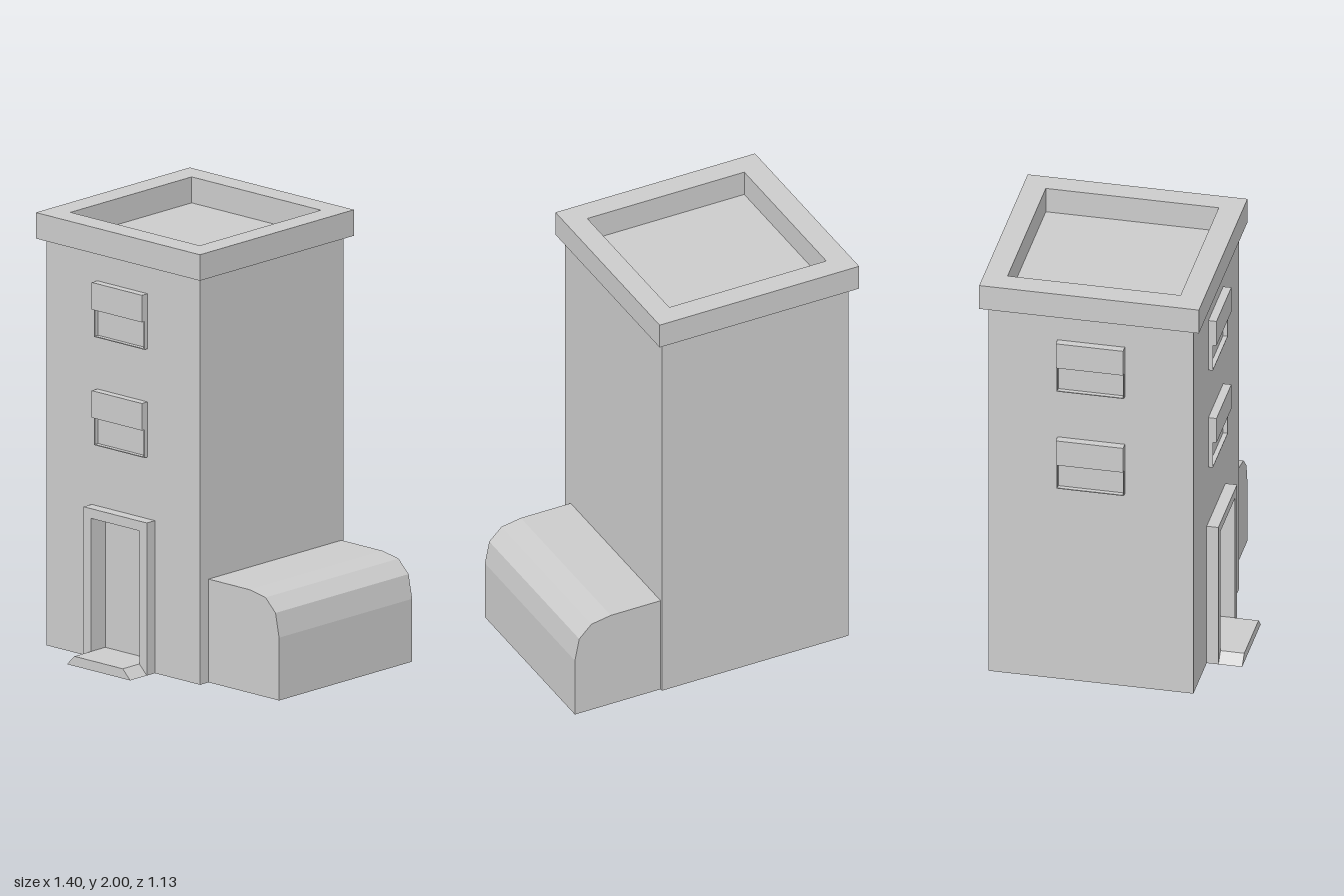
import * as THREE from 'three';

const material = new THREE.MeshStandardMaterial({ color: 0xcccccc, flatShading: true });

function addMesh(parent, name, geometry) {
  const mesh = new THREE.Mesh(geometry, material);
  mesh.name = name;
  parent.add(mesh);
  return mesh;
}

// Box given by its extents on each axis
function addBox(parent, name, [x0, x1], [y0, y1], [z0, z1]) {
  const mesh = addMesh(parent, name, new THREE.BoxGeometry(x1 - x0, y1 - y0, z1 - z0));
  mesh.position.set((x0 + x1) / 2, (y0 + y1) / 2, (z0 + z1) / 2);
  return mesh;
}

const points = (list) => list.map(([x, y]) => new THREE.Vector2(x, y));
const rect = (x0, x1, y0, y1) => points([[x0, y0], [x1, y0], [x1, y1], [x0, y1]]);

// Outline in x and y, extruded from z0 to z1, with an optional hole
function addExtrusion(parent, name, outline, z0, z1, hole) {
  const shape = new THREE.Shape(outline);
  if (hole) shape.holes.push(new THREE.Path(hole));
  const geometry = new THREE.ExtrudeGeometry(shape, { depth: z1 - z0, bevelEnabled: false });
  geometry.translate(0, 0, z0);
  return addMesh(parent, name, geometry);
}

// Window facing +z with its bottom centre at the origin: thin rim below, thick shutter above
function createWindow() {
  const win = new THREE.Group();
  win.name = 'window';
  const half = 0.153, split = 0.13, t = 0.004;
  addBox(win, 'shutter', [-half, half], [split, 0.255], [0, 0.037]);
  addBox(win, 'windowSill', [-half, half], [0, t], [0, 0.021]);
  for (const s of [-1, 1]) {
    const x = s * (half - t / 2);
    addBox(win, 'windowSide', [x - t / 2, x + t / 2], [t, split], [0, 0.021]);
  }
  return win;
}

export function createModel() {
  const model = new THREE.Group();
  model.name = 'towerBuilding';

  // Tower with a shallow door recess in its front wall
  const opening = rect(-0.345, -0.05, 0.045, 0.66);
  addBox(model, 'towerBody', [-0.665, 0.27], [0, 1.88], [-0.53, 0.362]);
  addExtrusion(model, 'frontWall', rect(-0.665, 0.27, 0, 1.88), 0.362, 0.402, opening);

  // Roof parapet around a sunken flat roof
  const parapet = addExtrusion(model, 'parapet',
    rect(-0.7, 0.3, -0.435, 0.565), 0, 0.12, rect(-0.59, 0.197, -0.327, 0.46));
  parapet.rotation.x = -Math.PI / 2;
  parapet.position.y = 1.88;

  // Door frame and the step with sloping ends
  addExtrusion(model, 'doorFrame', rect(-0.39, -0.005, 0, 0.705), 0.402, 0.455, opening);
  addExtrusion(model, 'doorStep',
    points([[-0.39, 0], [-0.005, 0], [-0.05, 0.045], [-0.345, 0.045]]), 0.455, 0.563);

  // Side annex with a rounded outer shoulder
  addExtrusion(model, 'annex', points([
    [0.27, 0], [0.7, 0], [0.7, 0.29], [0.678, 0.4], [0.617, 0.46], [0.52, 0.477], [0.27, 0.477],
  ]), -0.517, 0.347);

  // Two windows on the front and two on the right wall
  for (const y of [0.99, 1.49]) {
    const front = createWindow();
    front.position.set(-0.203, y, 0.402);
    const side = createWindow();
    side.position.set(-0.665, y, -0.063);
    side.rotation.y = -Math.PI / 2;
    model.add(front, side);
  }
  return model;
}
